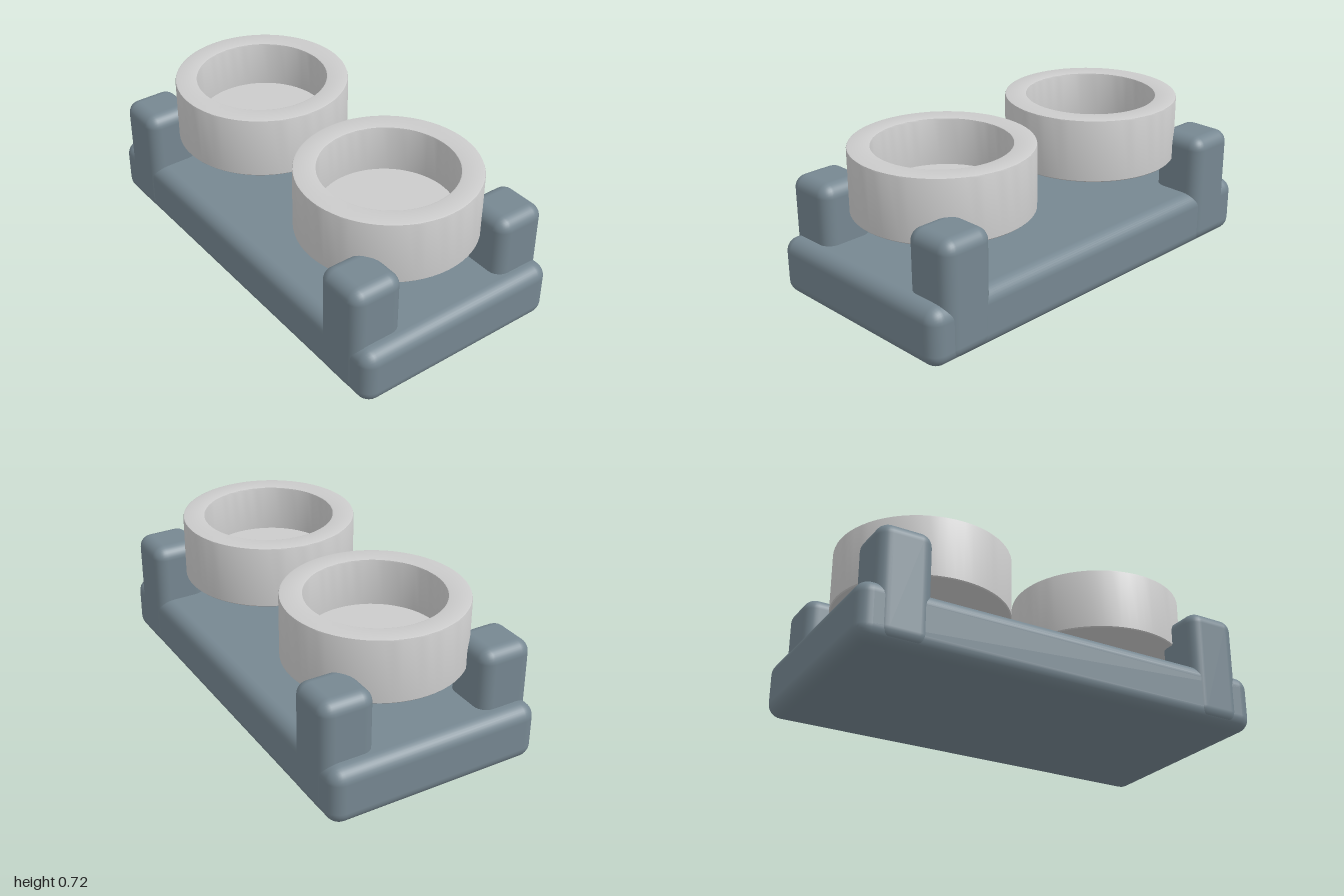
import * as THREE from 'three';
import { RoundedBoxGeometry } from 'three/addons/geometries/RoundedBoxGeometry.js';
import { toCreasedNormals } from 'three/addons/utils/BufferGeometryUtils.js';

export function createModel() {
  const model = new THREE.Group();
  model.name = 'doubleBowlStand';
  const standMaterial = new THREE.MeshStandardMaterial({ color: 0x768791 });
  const bowlMaterial = new THREE.MeshStandardMaterial({ color: 0xcccccc });

  const add = (name, geometry, material, x, y, z) => {
    const mesh = new THREE.Mesh(geometry, material);
    mesh.name = name;
    mesh.position.set(x, y, z);
    model.add(mesh);
  };

  // Rounded base slab
  add('base', new RoundedBoxGeometry(2, 0.27, 1.03, 4, 0.065), standMaterial, 0, 0.135, 0);

  // Four corner posts, sunk through the slab and slightly proud of its long sides
  const post = new RoundedBoxGeometry(0.255, 0.54, 0.255, 4, 0.06);
  for (const [side, x] of [['Left', 0.7975], ['Right', -0.7975]]) {
    for (const [end, z] of [['front', 0.3925], ['back', -0.3925]]) {
      add(`${end}${side}Post`, post, standMaterial, x, 0.28, z);
    }
  }

  // Thick-walled bowls with a flat floor and softened rims
  const profile = [
    [0, 0], [0.408, 0], [0.413, 0.005], [0.413, 0.292], [0.411, 0.298], [0.405, 0.3],
    [0.318, 0.3], [0.312, 0.298], [0.31, 0.292], [0.31, 0.075], [0, 0.075],
  ].map(([r, y]) => new THREE.Vector2(r, y));
  const bowl = toCreasedNormals(new THREE.LatheGeometry(profile, 64), Math.PI / 5);
  add('leftBowl', bowl, bowlMaterial, 0.48, 0.42, 0);
  add('rightBowl', bowl, bowlMaterial, -0.48, 0.42, 0);

  return model;
}
